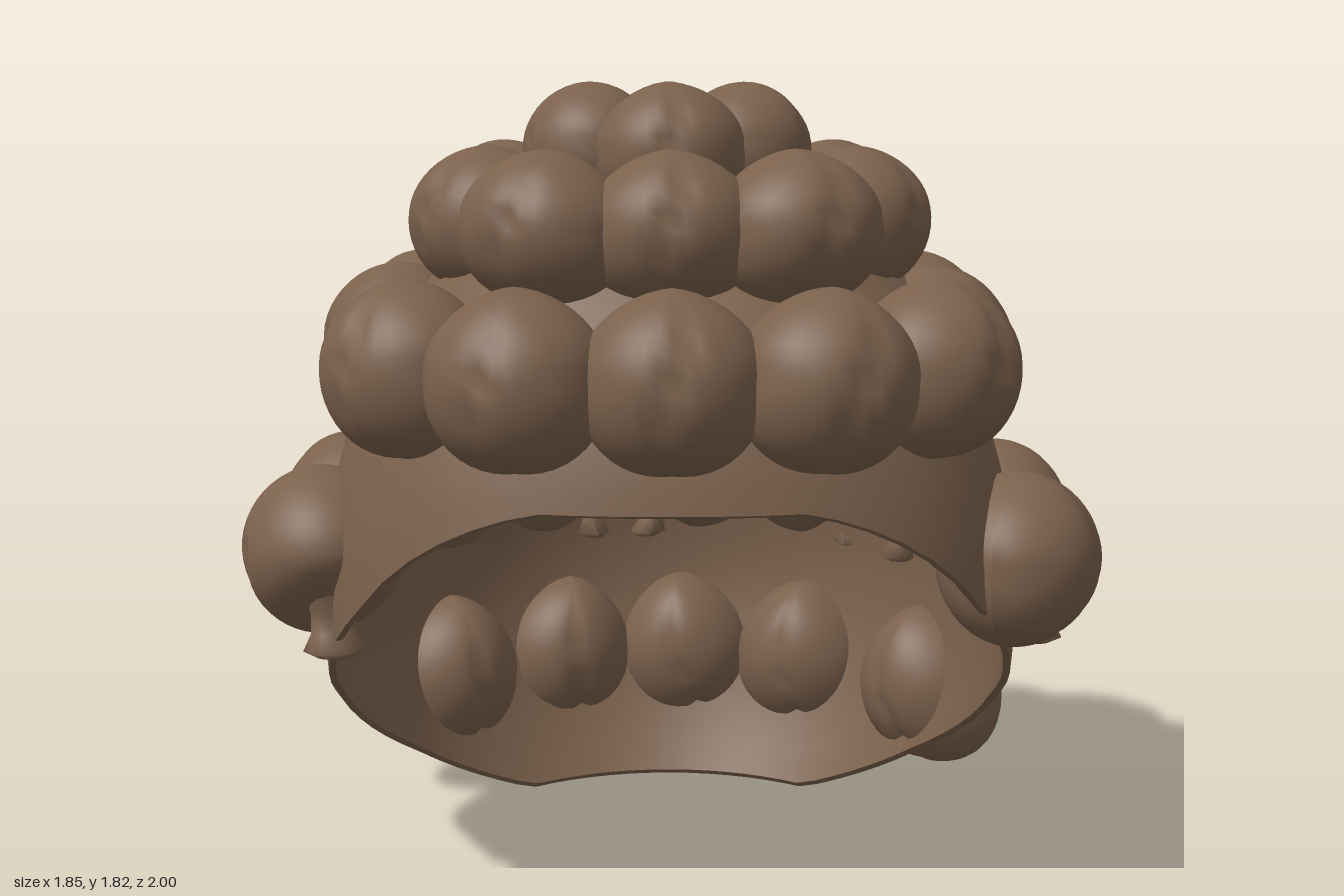
import * as THREE from 'three';
import { toCreasedNormals } from 'three/addons/utils/BufferGeometryUtils.js';

const hair = new THREE.MeshStandardMaterial({ color: 0x7b614c });
hair.name = 'brownHair';

// Height of the slanted opening at depth z
const rim = [[-0.52, 0], [-0.3, 0.17], [-0.1, 0.3], [0.1, 0.43], [0.3, 0.53], [0.6, 0.74], [0.84, 1]];
function rimHeight(z) {
  if (z <= rim[0][0]) return rim[0][1];
  for (let i = 1; i < rim.length; i++) {
    const [z0, y0] = rim[i - 1], [z1, y1] = rim[i];
    if (z <= z1) return y0 + (y1 - y0) * (z - z0) / (z1 - z0);
  }
  return rim[rim.length - 1][1];
}

// Point on the cap: azimuth a, polar angle p, scale s; squarer at the front, leaning forward towards the crown
function capPoint(a, p, s) {
  const square = Math.cos(a) > 0 ? 1 + 0.07 * Math.sin(2 * a) ** 2 : 1;
  const r = s * Math.sin(p) * square;
  const y = 0.65 + 1.02 * s * Math.cos(p);
  return new THREE.Vector3(0.78 * r * Math.sin(a), y,
    0.01 + 0.85 * r * Math.cos(a) + 0.12 * Math.max(0, y - 0.5));
}

function edgeAngle(a) {
  let lo = 0, hi = Math.PI;
  for (let k = 0; k < 30; k++) {
    const mid = (lo + hi) / 2, v = capPoint(a, mid, 1);
    if (v.y > rimHeight(v.z)) lo = mid; else hi = mid;
  }
  return lo;
}

// Thin shell: outer surface down to the rim, then inner surface back up
function capGeometry() {
  const around = 72, down = 24, rows = 2 * down + 2, pos = [], idx = [];
  for (let i = 0; i < around; i++) {
    const a = i / around * Math.PI * 2, end = edgeAngle(a);
    for (let j = 0; j < rows; j++) {
      const outer = j <= down, t = (outer ? j : rows - 1 - j) / down;
      pos.push(...capPoint(a, end * t, outer ? 1 : 0.98).toArray());
    }
  }
  for (let i = 0; i < around; i++) {
    for (let j = 0; j < rows - 1; j++) {
      const p = i * rows + j, q = ((i + 1) % around) * rows + j;
      if (j > 0) idx.push(p, p + 1, q);
      if (j < rows - 2) idx.push(q, p + 1, q + 1);
    }
  }
  const g = new THREE.BufferGeometry();
  g.setAttribute('position', new THREE.Float32BufferAttribute(pos, 3));
  g.setIndex(idx);
  return toCreasedNormals(g, 0.8);
}

// Plump lock facing +z: peaked top, wavy crease on its face, optional wider base,
// and a lower corner cut away on one side (hook = 1 or -1) where a wisp hangs
function curlGeometry(taper, hook) {
  const g = new THREE.SphereGeometry(1, 40, 24), p = g.attributes.position;
  for (let i = 0; i < p.count; i++) {
    const x = p.getX(i), y = p.getY(i), z = p.getZ(i);
    const d = Math.abs(x - 0.14 * Math.sin(3 * y)) / 0.08;
    const groove = 1 - 0.13 * Math.exp(-d) * Math.abs(z);
    const corner = y < 0 && x * hook > 0 ? 1 - 0.45 * Math.abs(x * y) : 1 + 0.12 * Math.abs(x * y);
    const peak = y > 0 ? 1 - 0.2 * Math.abs(x) : 1;
    p.setXYZ(i, x * corner * (1 - taper * y), y * corner * peak, z * groove);
  }
  g.computeVertexNormals();
  return g;
}

// Wisp under a lock: wide root, narrow neck, flared foot
function tailGeometry() {
  const profile = [[0, -0.1], [0.03, -0.1], [0.05, -0.085], [0.036, -0.05], [0.034, -0.01], [0.05, 0.05], [0.07, 0.12]]
    .map(([r, y]) => new THREE.Vector2(r, y));
  const g = new THREE.LatheGeometry(profile, 14), p = g.attributes.position;
  for (let i = 0; i < p.count; i++) {
    const t = (0.12 - p.getY(i)) / 0.22;
    p.setX(i, p.getX(i) + 0.03 * t * t);
  }
  g.computeVertexNormals();
  return g;
}

// Tiers of locks: height, half sizes, lean of the tops inwards, base widening, and [x, z] centres
const tiers = [
  { name: 'crownCurl', y: 1.675, size: [0.155, 0.145, 0.15], lean: 0.15, taper: 0,
    at: [[0, -0.08], [-0.17, 0.14], [0.16, 0.14], [0, 0.35]] },
  { name: 'upperCurl', y: 1.535, size: [0.175, 0.155, 0.165], lean: 0.15, taper: 0.04,
    at: [[-0.38, 0.36], [0.38, 0.36], [-0.37, -0.08], [0.37, -0.08], [-0.23, -0.36], [0.01, -0.38], [0.23, -0.36],
      [-0.25, 0.6], [0, 0.62], [0.25, 0.6]] },
  { name: 'middleCurl', y: 1.255, size: [0.18, 0.18, 0.17], lean: 0.1, taper: 0,
    at: [[0, 0.83], [-0.3, 0.8], [0.3, 0.8], [-0.53, 0.62], [0.53, 0.62], [-0.59, 0.2], [0.57, 0.29],
      [-0.57, -0.15], [0.57, -0.1], [-0.42, -0.47], [0.45, -0.43], [-0.15, -0.6], [0.17, -0.6]] },
  { name: 'lowerCurl', y: 0.825, size: [0.195, 0.185, 0.175], lean: 0, taper: 0, tail: true,
    at: [[0.74, 0.43], [0.75, 0], [0.67, -0.41], [0.39, -0.73], [0.06, -0.82], [-0.31, -0.77],
      [-0.59, -0.54], [-0.74, -0.13], [-0.75, 0.34]] },
  { name: 'napeCurl', y: 0.31, size: [0.18, 0.205, 0.175], lean: 0.25, taper: 0.1,
    at: [[0.67, -0.44], [0.37, -0.73], [0.05, -0.825], [-0.28, -0.78], [-0.57, -0.55]] },
];

export function createModel() {
  const model = new THREE.Group();
  model.name = 'curlyWig';
  const cap = new THREE.Mesh(capGeometry(), hair);
  cap.name = 'cap';
  model.add(cap);

  const tail = tailGeometry();
  for (const tier of tiers) {
    const curls = [1, -1].map((side) => curlGeometry(tier.taper, tier.tail ? side : 0));
    tier.at.forEach(([x, z], i) => {
      const lock = new THREE.Group();
      lock.name = tier.name;
      lock.position.set(x, tier.y, z);
      lock.rotation.y = Math.atan2(x, z - 0.08);
      const body = new THREE.Mesh(curls[i % 2], hair);
      body.name = 'curlBody';
      body.scale.set(...tier.size);
      body.rotation.set(-tier.lean, 0, 0.1 * Math.sin(i * 2.4));
      lock.add(body);
      if (tier.tail) {
        const side = i % 2 ? -1 : 1;
        const wisp = new THREE.Mesh(tail, hair);
        wisp.name = 'curlTail';
        wisp.position.set(side * 0.085, -0.11, 0);
        wisp.rotation.y = side > 0 ? 0 : Math.PI;
        wisp.scale.z = 1.4;
        lock.add(wisp);
      }
      model.add(lock);
    });
  }
  return model;
}
